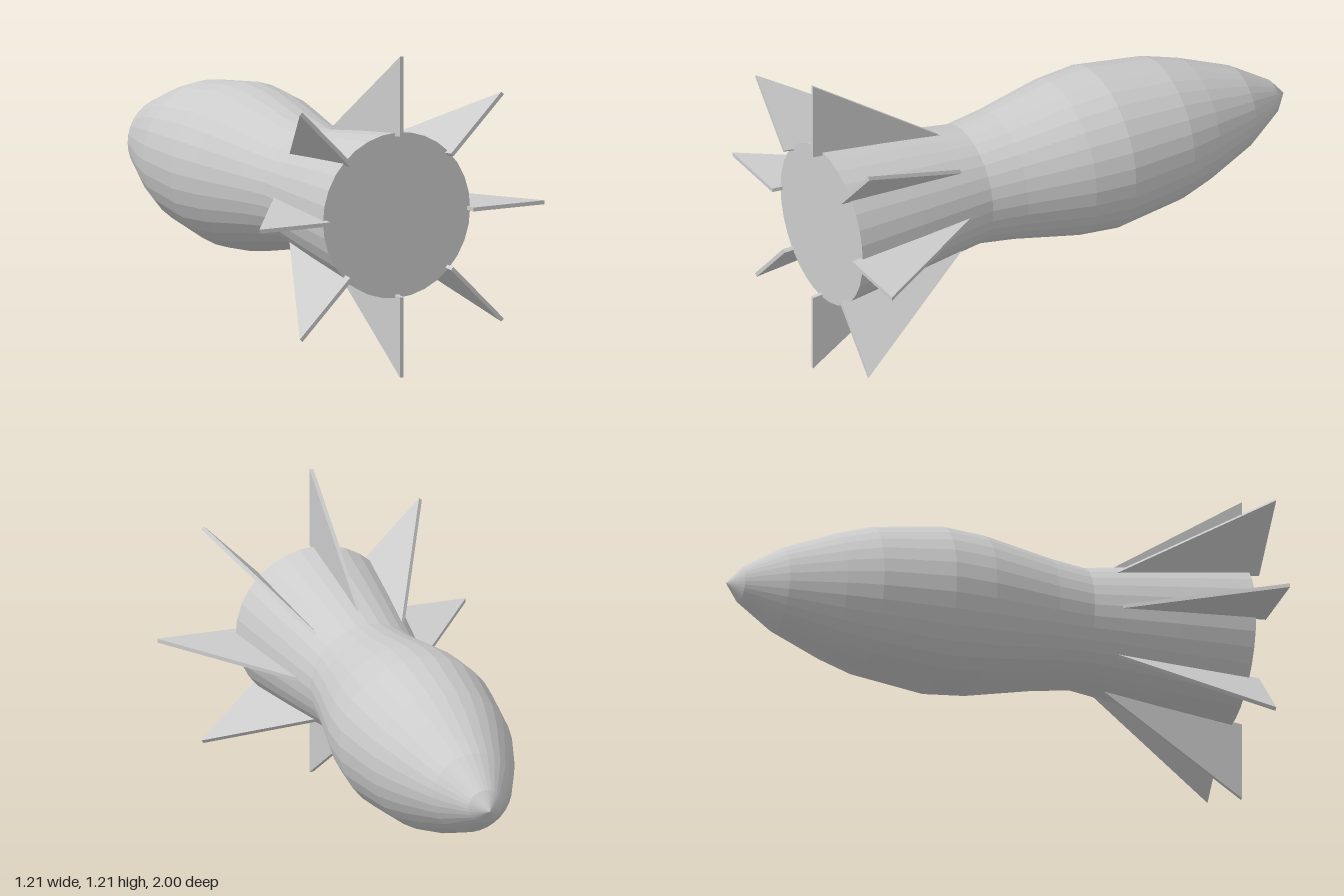
import * as THREE from 'three';

export function createModel() {
  const group = new THREE.Group();
  const material = new THREE.MeshStandardMaterial({ color: 0xcccccc, flatShading: true });
  const axisHeight = 0.605;

  // Hull: [radius, z] from the flat tail to the pointed nose
  const profile = [
    [0, 0.96], [0.312, 0.96], [0.275, 0.68], [0.243, 0.46], [0.229, 0.36],
    [0.248, 0.22], [0.3, -0.04], [0.313, -0.2], [0.277, -0.47], [0.237, -0.6],
    [0.157, -0.8], [0.066, -0.945], [0, -1],
  ].map(([r, z]) => new THREE.Vector2(r, -z));
  const hullGeometry = new THREE.LatheGeometry(profile, 32);
  hullGeometry.rotateX(-Math.PI / 2);
  const hull = new THREE.Mesh(hullGeometry, material);
  hull.name = 'hull';
  hull.position.y = axisHeight;
  group.add(hull);

  // Fin: a thin triangle swept back past the tail
  const thickness = 0.015;
  const outline = new THREE.Shape([
    new THREE.Vector2(0.24, -0.46),
    new THREE.Vector2(0.303, -1),
    new THREE.Vector2(0.605, -1),
  ]);
  const finGeometry = new THREE.ExtrudeGeometry(outline, { depth: thickness, bevelEnabled: false });
  finGeometry.translate(0, 0, -thickness / 2);
  finGeometry.rotateX(-Math.PI / 2);

  // Eight fins around the tail
  const fins = new THREE.Group();
  fins.name = 'tailFins';
  fins.position.y = axisHeight;
  for (let i = 0; i < 8; i++) {
    const fin = new THREE.Mesh(finGeometry, material);
    fin.name = `fin${i + 1}`;
    fin.rotation.z = (i * Math.PI) / 4;
    fins.add(fin);
  }
  group.add(fins);

  return group;
}
